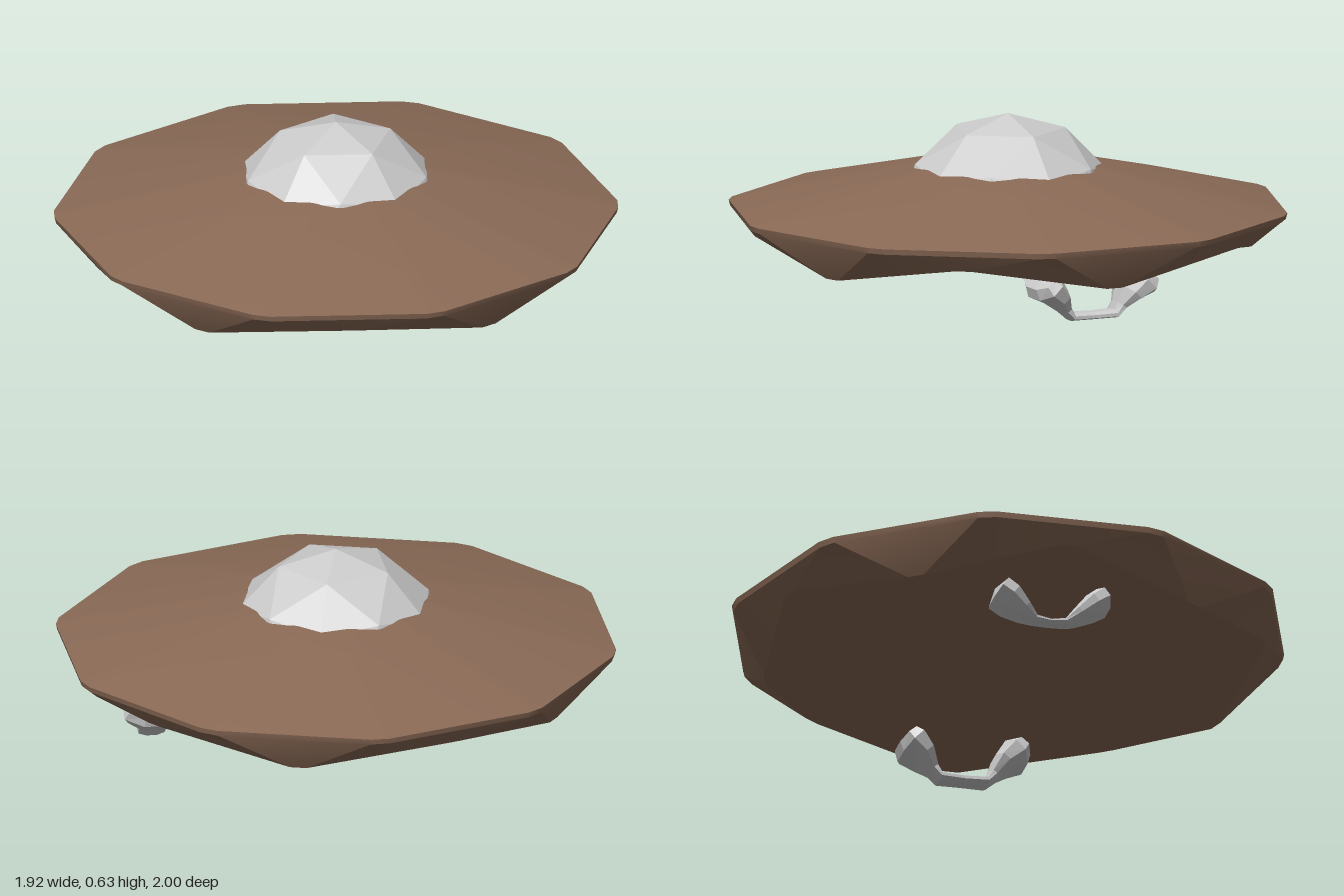
import * as THREE from 'three';
import { toCreasedNormals } from 'three/addons/utils/BufferGeometryUtils.js';

const V = (x, y, z) => new THREE.Vector3(x, y, z);

// Skin a list of equal-length closed rings; a ring of identical points closes an end.
function loft(rings) {
  const pos = [];
  const tri = (a, b, c) => {
    if (a.distanceTo(b) < 1e-6 || b.distanceTo(c) < 1e-6 || c.distanceTo(a) < 1e-6) return;
    for (const p of [a, b, c]) pos.push(p.x, p.y, p.z);
  };
  for (let j = 0; j < rings.length - 1; j++) {
    const lo = rings[j], hi = rings[j + 1], n = lo.length;
    for (let i = 0; i < n; i++) {
      const k = (i + 1) % n;
      tri(lo[i], lo[k], hi[k]);
      tri(lo[i], hi[k], hi[i]);
    }
  }
  const geo = new THREE.BufferGeometry();
  geo.setAttribute('position', new THREE.Float32BufferAttribute(pos, 3));
  geo.computeVertexNormals();
  return geo;
}

// Ten-sided ring, each side given by its distance from the axis, half length and height.
function sides(side) {
  const ring = [];
  for (let k = 0; k < 10; k++) {
    const a = k * Math.PI / 5, [r, half, y] = side(k);
    for (const s of [-half, half]) {
      ring.push(V(r * Math.cos(a) - s * Math.sin(a), y, -r * Math.sin(a) - s * Math.cos(a)));
    }
  }
  return ring;
}

// U-shaped foot swept through [z, y, half width, half thickness] stations, mirrored in z.
function footGeometry(x, half) {
  const path = [...half].reverse().concat(half.slice(1).map(([z, y, w, t]) => [-z, y, w, t]));
  const N = 8;
  return loft(path.map(([z, y, w, t], j) => {
    const a = path[Math.max(j - 1, 0)], b = path[Math.min(j + 1, path.length - 1)];
    const u = V(1, 0, 0);
    const v = V(0, b[1] - a[1], b[0] - a[0]).normalize().cross(u);
    return Array.from({ length: N }, (_, i) => {
      const ang = (i + 0.5) * 2 * Math.PI / N;
      return V(x, y, z).addScaledVector(u, 1.08 * w * Math.cos(ang)).addScaledVector(v, t * Math.sin(ang));
    });
  }));
}

export function createModel() {
  const group = new THREE.Group();
  const brown = new THREE.MeshStandardMaterial({ color: 0x8a6a56 });
  const grey = new THREE.MeshStandardMaterial({ color: 0xcccccc, flatShading: true });
  const add = (name, geo, mat) => {
    const mesh = new THREE.Mesh(geo, mat);
    mesh.name = name;
    group.add(mesh);
  };

  // Saucer: five low points alternate with five raised ones under a clipped decagonal rim
  const hull = loft([
    sides(() => [0, 0, 0.2]),
    sides(k => (k % 2 ? [0.91, 0.03, 0.22] : [0.865, 0.03, 0.14])),
    sides(() => [0.955, 0.275, 0.28]),
    sides(() => [0.96, 0.277, 0.3]),
    sides(() => [0, 0, 0.525]),
  ]);
  add('saucerHull', toCreasedNormals(hull, 0.35), brown);

  // Faceted dome: upper half of a squashed geodesic ball, its base sunk in the hull
  const dome = new THREE.IcosahedronGeometry(1, 1);
  dome.rotateZ(-Math.atan(2 / (1 + Math.sqrt(5))));
  const p = dome.attributes.position;
  for (let i = 0; i < p.count; i++) p.setY(i, Math.max(0, p.getY(i)));
  dome.scale(0.391, 0.37, 0.391);
  dome.translate(0, 0.265, 0);
  dome.computeVertexNormals();
  add('dome', dome, grey);

  // Feet: flared pads joined by a thin bar
  add('leftFoot', footGeometry(0.675, [
    [0, 0.015, 0.042, 0.014], [0.085, 0.017, 0.047, 0.016], [0.108, 0.045, 0.05, 0.022],
    [0.14, 0.09, 0.095, 0.042], [0.185, 0.13, 0.115, 0.062], [0.205, 0.155, 0.1, 0.045],
    [0.21, 0.16, 0, 0],
  ]), grey);
  add('rightFoot', footGeometry(-0.62, [
    [0, 0.047, 0.034, 0.007], [0.055, 0.053, 0.04, 0.011], [0.095, 0.08, 0.075, 0.026],
    [0.145, 0.118, 0.107, 0.042], [0.185, 0.145, 0.107, 0.046], [0.2, 0.16, 0, 0],
  ]), grey);

  return group;
}
